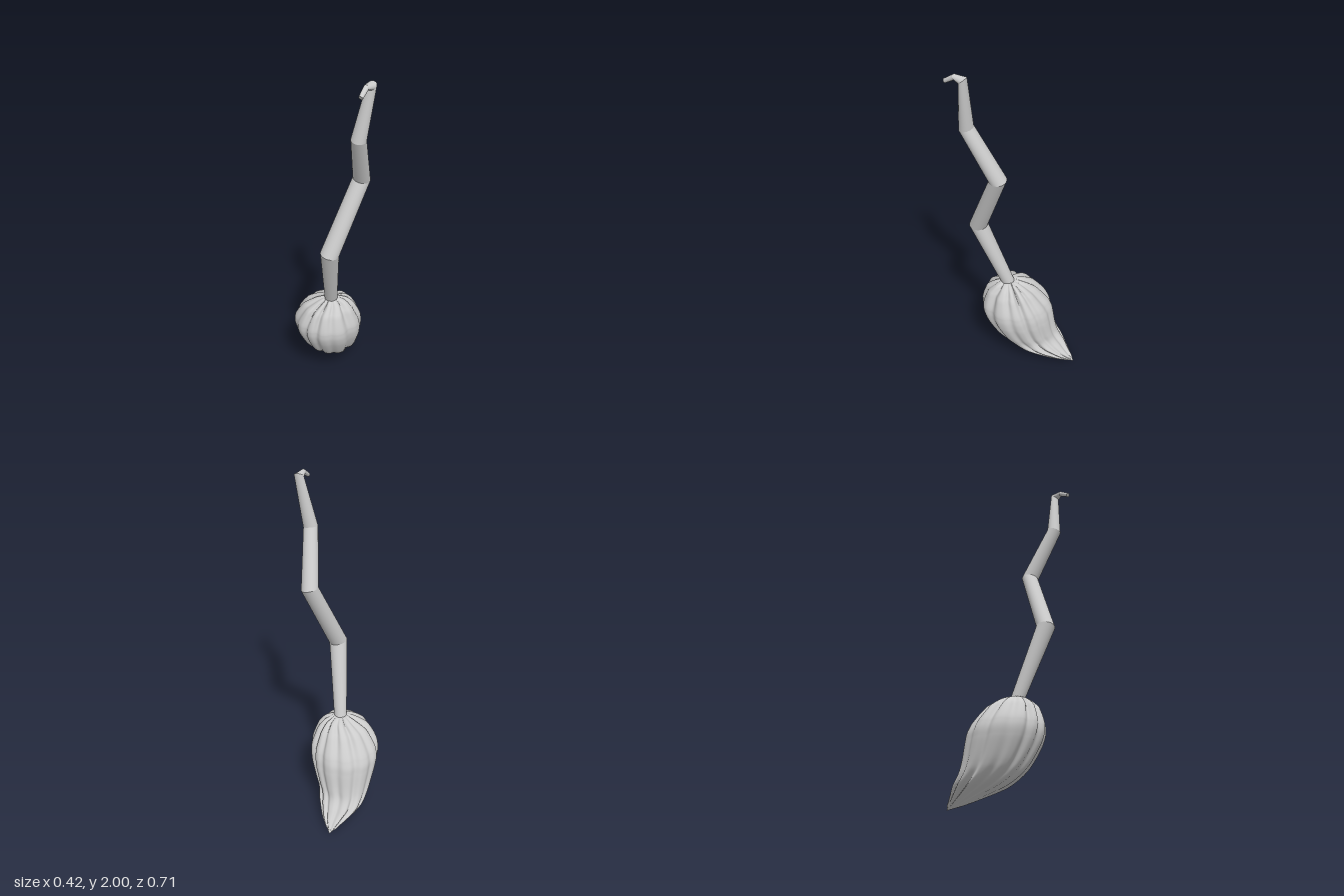
import * as THREE from 'three';

const V = (x, y, z) => new THREE.Vector3(x, y, z);

// Skins a list of closed rings (each an array of points) into a smooth surface
function loft(rings) {
  const n = rings[0].length, index = [];
  for (let i = 0; i < rings.length - 1; i++) {
    for (let j = 0; j < n; j++) {
      const k = (j + 1) % n;
      const a = i * n + j, b = i * n + k, c = a + n, d = b + n;
      index.push(a, b, c, b, d, c);
    }
  }
  const geometry = new THREE.BufferGeometry().setFromPoints(rings.flat());
  geometry.setIndex(index);
  geometry.computeVertexNormals();
  return geometry;
}

function createModel() {
  const group = new THREE.Group();
  group.name = 'crookedBroom';
  const material = new THREE.MeshStandardMaterial({ color: 0xcccccc, side: THREE.DoubleSide });
  const add = (name, geometry, parent) => {
    const mesh = new THREE.Mesh(geometry, material);
    mesh.name = name;
    parent.add(mesh);
  };

  // Crooked handle: tapering straight pieces joined by mitred rings
  const joints = [
    [0, 0.55, 0.02, 0.037], [-0.045, 0.98, 0.185, 0.053], [0.148, 1.39, 0.106, 0.049],
    [0.089, 1.69, 0.254, 0.041], [0.143, 1.978, 0.27, 0.027],
    [0.108, 1.984, 0.305, 0.015], [0.07, 1.95, 0.347, 0.012],
  ];
  const points = joints.map(([x, y, z]) => V(x, y, z));
  const along = (i) => points[i + 1].clone().sub(points[i]).normalize();
  const last = points.length - 1;
  const u = V(1, 0, 0);
  const rings = points.map((p, i) => {
    const t = V(0, 0, 0);
    if (i > 0) t.add(along(i - 1));
    if (i < last) t.add(along(i));
    t.normalize();
    u.addScaledVector(t, -u.dot(t)).normalize(); // carry the frame along without twist
    const v = t.clone().cross(u), r = joints[i][3];
    return Array.from({ length: 32 }, (_, j) => {
      const a = (j / 32) * Math.PI * 2;
      return p.clone().addScaledVector(u, r * Math.cos(a)).addScaledVector(v, r * Math.sin(a));
    });
  });
  const handle = new THREE.Group();
  handle.name = 'handle';
  group.add(handle);
  for (let i = 0; i < last; i++) {
    add(i < 4 ? 'handlePiece' : 'hookPiece', loft([rings[i], rings[i + 1]]), handle);
  }
  const cap = (i) => rings[i].map(() => points[i].clone());
  add('handleBottom', loft([cap(0), rings[0]]), handle);
  add('hookTip', loft([rings[last], cap(last)]), handle);

  // Bristle head: fluted slices swept down into a tail: y, centre x, centre z, radius x, radius z, groove depth
  const slices = [
    [0.555, 0, 0.02, 0.02, 0.02, 0.1],
    [0.568, 0, 0.018, 0.042, 0.042, 0.2],
    [0.55, 0.003, 0.011, 0.092, 0.09, 0.22],
    [0.5, -0.008, 0, 0.152, 0.15, 0.14],
    [0.4, -0.01, -0.024, 0.199, 0.204, 0.08],
    [0.35, -0.007, -0.037, 0.203, 0.213, 0.07],
    [0.3, 0, -0.05, 0.196, 0.209, 0.07],
    [0.2, 0.016, -0.087, 0.168, 0.188, 0.08],
    [0.15, 0.028, -0.117, 0.15, 0.173, 0.09],
    [0.1, 0.06, -0.167, 0.133, 0.151, 0.11],
    [0.05, 0.123, -0.25, 0.085, 0.088, 0.13],
    [0.02, 0.17, -0.31, 0.037, 0.042, 0.13],
    [0.003, 0.2, -0.35, 0.003, 0.004, 0],
  ];
  const centres = new THREE.CatmullRomCurve3(slices.map((s) => V(s[1], s[0], s[2])));
  const sizes = new THREE.CatmullRomCurve3(slices.map((s) => V(s[3], s[4], s[5])));
  const steps = 72, sides = 168;
  const bristles = [];
  for (let i = 0; i <= steps; i++) {
    const c = centres.getPoint(i / steps), s = sizes.getPoint(i / steps);
    bristles.push(Array.from({ length: sides }, (_, j) => {
      const a = (j / sides) * Math.PI * 2;
      // Twelve slightly uneven lobes with narrow grooves between them
      const phase = 6 * a + 0.5 * Math.sin(2 * a + 1) + 0.35 * Math.sin(3 * a);
      const groove = Math.pow(Math.cos(phase) ** 2, 2);
      const k = 1 - s.z * groove * (1 + 0.35 * Math.sin(5 * a + 2));
      return V(c.x + s.x * k * Math.cos(a), c.y, c.z + s.y * k * Math.sin(a));
    }));
  }
  add('bristles', loft(bristles), group);
  return group;
}

export { createModel };
